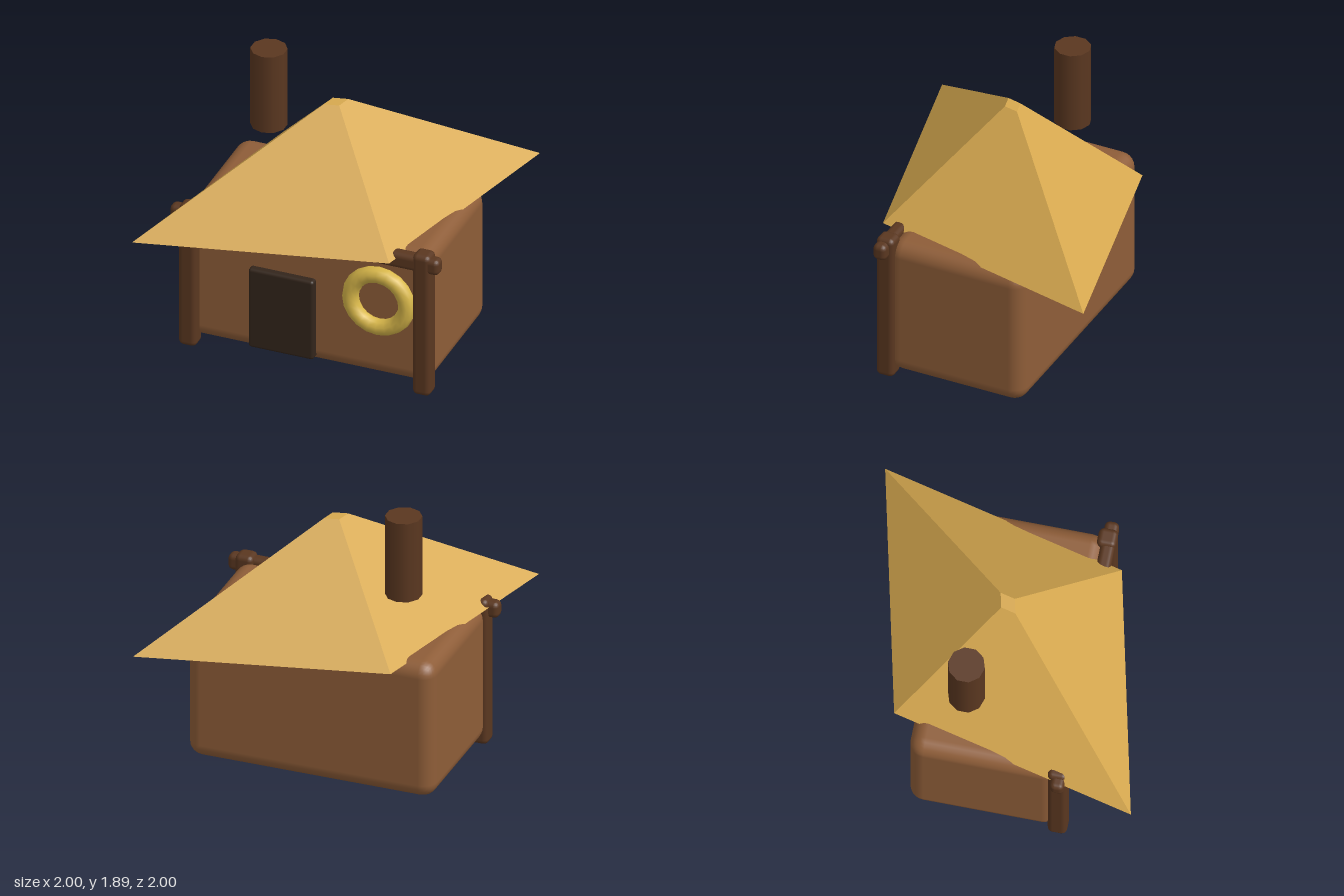
import * as THREE from 'three';
import { RoundedBoxGeometry } from 'three/addons/geometries/RoundedBoxGeometry.js';

const paint = (color, flatShading = false) => new THREE.MeshStandardMaterial({ color, flatShading });

export function createModel() {
  const hut = new THREE.Group();
  hut.name = 'hut';

  const clay = paint(0x8e5d38);
  const wood = paint(0x5a3720);
  const darkWood = paint(0x33251b);
  const thatch = paint(0xd6a84f, true);
  const straw = paint(0xd9b84a);

  const add = (name, geometry, material, x, y, z) => {
    const mesh = new THREE.Mesh(geometry, material);
    mesh.name = name;
    mesh.position.set(x, y, z);
    hut.add(mesh);
    return mesh;
  };

  // Rounded box given by its lower and upper limits
  const block = (name, material, [x0, x1], [y0, y1], [z0, z1], radius, segments = 2) =>
    add(name, new RoundedBoxGeometry(x1 - x0, y1 - y0, z1 - z0, segments, radius), material,
      (x0 + x1) / 2, (y0 + y1) / 2, (z0 + z1) / 2);

  // Walls and door
  block('walls', clay, [-0.85, 0.845], [0.05, 1.02], [-0.485, 0.485], 0.1, 3);
  block('door', darkWood, [-0.39, 0.06], [0.095, 0.68], [0.44, 0.535], 0.02);

  // Front posts and the beam across them
  for (const side of [-1, 1]) {
    const x = side * 0.807;
    block(side > 0 ? 'leftPost' : 'rightPost', wood, [x - 0.062, x + 0.062], [0.01, 1.055], [0.425, 0.552], 0.035);
  }
  block('beam', wood, [-0.932, 0.928], [0.922, 1.035], [0.452, 0.546], 0.035);

  // Ring window
  add('windowRing', new THREE.TorusGeometry(0.194, 0.056, 10, 20), straw, 0.5, 0.63, 0.503);

  // Roof: four-sided taper stretched along one diagonal
  const roofShape = new THREE.CylinderGeometry(0.06, 1, 0.72, 4);
  roofShape.scale(Math.SQRT2, 1, 0.875).rotateY(Math.PI / 4);
  add('roof', roofShape, thatch, 0, 1.36, 0);

  // Chimney
  add('chimney', new THREE.CylinderGeometry(0.12, 0.12, 0.565, 10), wood, -0.53, 1.6225, -0.165);

  return hut;
}
